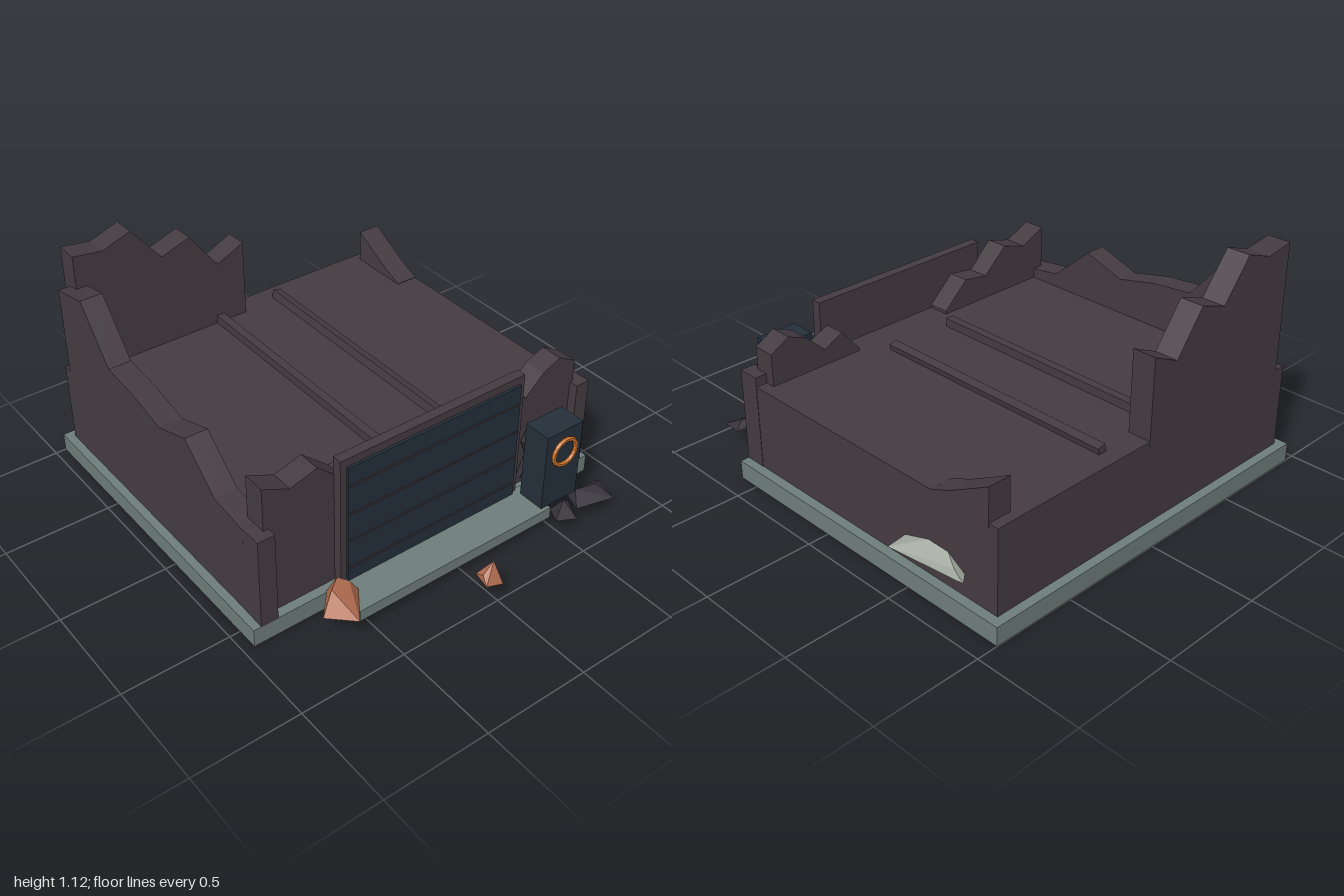
import * as THREE from 'three';
import { ConvexGeometry } from 'three/addons/geometries/ConvexGeometry.js';

const paint = (name, color) => {
  const m = new THREE.MeshStandardMaterial({ color, flatShading: true });
  m.name = name;
  return m;
};

export function createModel() {
  const model = new THREE.Group();
  const wall = paint('charred wall', 0x443b41);
  const concrete = paint('concrete', 0x6e7d7a);
  const steel = paint('dark blue steel', 0x24303a);
  const orange = paint('orange', 0xd0742a);
  const copper = paint('rust rubble', 0xb26d50);
  const soot = paint('soot', 0x37323a);
  const pale = paint('pale rubble', 0xa0a79d);

  const add = (name, geometry, material) => {
    const mesh = new THREE.Mesh(geometry, material);
    mesh.name = name;
    model.add(mesh);
    return mesh;
  };
  // Box given by its limits on each axis
  const box = (name, material, x0, x1, y0, y1, z0, z1) => {
    const mesh = add(name, new THREE.BoxGeometry(x1 - x0, y1 - y0, z1 - z0), material);
    mesh.position.set((x0 + x1) / 2, (y0 + y1) / 2, (z0 + z1) / 2);
    return mesh;
  };
  const extrude = (points, depth) => new THREE.ExtrudeGeometry(
    new THREE.Shape(points.map(p => new THREE.Vector2(...p))), { depth, bevelEnabled: false });

  const ROOF = 0.485;
  // Broken wall standing on the roof; top is a list of [along, height]
  const brokenWall = (name, top, from, to, alongZ) => {
    const first = top[0][0], last = top[top.length - 1][0];
    const g = extrude([[first, ROOF - 0.02], [last, ROOF - 0.02], ...[...top].reverse()], to - from);
    if (alongZ) g.rotateY(-Math.PI / 2).translate(to, 0, 0);
    else g.translate(0, 0, from);
    add(name, g, wall);
  };

  // Ground slab and doorstep
  box('groundSlab', concrete, -0.95, 0.9, 0, 0.088, -1, 0.605);
  box('doorApron', concrete, -0.555, 0.5, 0.045, 0.1, 0.59, 0.785);

  // Main block with flat roof
  box('mainBlock', wall, -0.91, 0.855, 0.08, ROOF, -0.957, 0.56);
  box('leftCornerPillar', wall, 0.785, 0.857, 0.085, 0.53, 0.5, 0.605);
  box('rightCornerPillar', wall, -0.912, -0.83, 0.085, 0.53, 0.5, 0.605);

  // Roof beams
  box('roofBeam', wall, -0.16, -0.12, ROOF - 0.01, 0.525, -0.88, 0.36);
  const tilted = box('tiltedRoofBeam', wall, 0.182, 0.222, ROOF - 0.01, 0.52, -0.88, 0.36);
  tilted.rotation.z = -0.25;

  // Broken upper walls
  brokenWall('backWall', [[-0.855, 1.09], [-0.712, 1.07], [-0.57, 1.12], [-0.425, 0.94],
    [-0.28, 0.99], [-0.138, 0.8], [0.003, 0.865]], -0.958, -0.847, false);
  brokenWall('frontWallRight', [[-0.855, 0.737], [-0.725, 0.677], [-0.595, 0.715], [-0.465, 0.6],
    [-0.335, 0.62], [-0.205, 0.5]], 0.453, 0.561, false);
  brokenWall('frontWallLeft', [[0.325, 0.5], [0.42, 0.61], [0.515, 0.56], [0.61, 0.65],
    [0.705, 0.69], [0.8, 0.638]], 0.453, 0.561, false);
  brokenWall('sideWallRight', [[-0.91, 0.915], [-0.705, 0.96], [-0.505, 0.72], [-0.3, 0.7],
    [-0.1, 0.655], [0.105, 0.725], [0.305, 0.55], [0.51, 0.525]], -0.911, -0.803, true);
  brokenWall('sideWallLeft', [[-0.91, 0.643], [-0.7, 0.528], [-0.6, 0.488]], 0.745, 0.856, true);

  // Roller door, frame and slat lines
  box('doorFrame', wall, -0.515, 0.457, 0.085, 0.73, 0.555, 0.602);
  box('rollerDoor', steel, -0.485, 0.43, 0.1, 0.692, 0.595, 0.615);
  for (const y of [0.17, 0.315, 0.455, 0.6]) {
    box('doorSlatLine', wall, -0.48, 0.425, y - 0.004, y + 0.004, 0.612, 0.619);
  }

  // Terminal cabinet with ring
  box('cabinet', steel, 0.42, 0.625, 0.145, 0.53, 0.67, 0.803);
  add('cabinetRing', new THREE.TorusGeometry(0.064, 0.011, 6, 18), orange).position.set(0.523, 0.418, 0.81);

  // Zigzag cracks on the front
  const crack = [[0.715, 0.415], [0.672, 0.335], [0.702, 0.255], [0.66, 0.15]];
  for (const shift of [0, -0.165]) {
    for (let i = 0; i < 3; i++) {
      const [a, b] = [crack[i], crack[i + 1]];
      const dx = b[0] - a[0], dy = b[1] - a[1];
      const bar = add('wallCrack', new THREE.BoxGeometry(0.014, Math.hypot(dx, dy) + 0.008, 0.026), soot);
      bar.position.set((a[0] + b[0]) / 2 + shift, (a[1] + b[1]) / 2, 0.582);
      bar.rotation.z = Math.atan2(-dx, dy);
    }
  }

  // Angular rubble
  const rock = (name, material, points) =>
    add(name, new ConvexGeometry(points.map(p => new THREE.Vector3(...p))), material);
  rock('largeRustRubble', copper, [[-0.7, 0.105, 0.73], [-0.59, 0.1, 0.83], [-0.485, 0.105, 0.68],
    [-0.59, 0.1, 0.605], [-0.635, 0.2, 0.7], [-0.53, 0.175, 0.68], [-0.57, 0.195, 0.65]]);
  rock('smallRustRubble', copper, [[-0.055, 0.095, 0.985], [0.025, 0.08, 1], [0.035, 0.09, 0.91],
    [-0.04, 0.1, 0.9], [0.005, 0.187, 0.955], [-0.045, 0.13, 0.95]]);
  rock('smallSootRubble', soot, [[0.455, 0.1, 0.865], [0.545, 0.095, 0.905], [0.585, 0.1, 0.82],
    [0.49, 0.1, 0.79], [0.515, 0.175, 0.84], [0.545, 0.155, 0.84]]);
  rock('flatSootRubble', soot, [[0.585, 0.1, 0.86], [0.77, 0.1, 0.905], [0.79, 0.115, 0.785],
    [0.62, 0.1, 0.765], [0.63, 0.148, 0.8], [0.74, 0.14, 0.82]]);
  rock('paleRubble', pale, [[0.84, 0.19, -0.77], [0.9, 0.19, -0.82], [0.945, 0.187, -0.44],
    [0.84, 0.205, -0.445], [0.855, 0.248, -0.58], [0.85, 0.25, -0.68], [0.89, 0.222, -0.76]]);

  return model;
}
